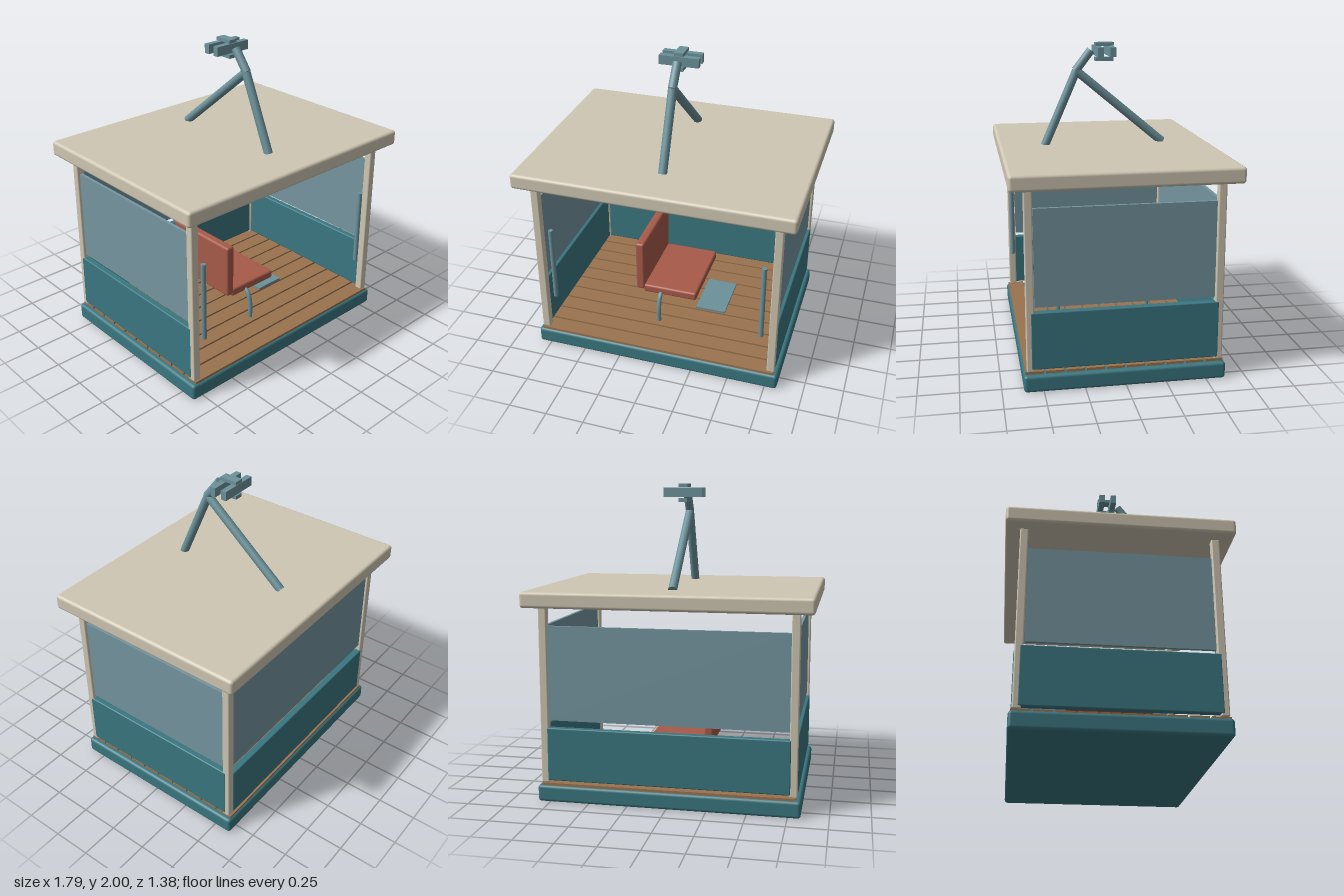
import * as THREE from 'three';
import { RoundedBoxGeometry } from 'three/addons/geometries/RoundedBoxGeometry.js';

const material = (name, color) => {
  const m = new THREE.MeshStandardMaterial({ color });
  m.name = name;
  return m;
};

export function createModel() {
  const model = new THREE.Group();
  model.name = 'gondolaCabin';

  const teal = material('teal paint', 0x3a7781);
  const cream = material('cream paint', 0xcfc7b3);
  const glass = material('tinted window', 0x7596a0);
  const steel = material('blue grey steel', 0x6c929b);
  const wood = material('wood', 0x9b734f);
  const red = material('seat red', 0xa85b49);

  const add = (name, geometry, mat, x = 0, y = 0, z = 0) => {
    const mesh = new THREE.Mesh(geometry, mat);
    mesh.name = name;
    mesh.position.set(x, y, z);
    model.add(mesh);
    return mesh;
  };
  // Box given by its extents; r > 0 rounds the edges
  const box = (name, mat, [x0, x1], [y0, y1], [z0, z1], r = 0) => {
    const size = [x1 - x0, y1 - y0, z1 - z0];
    const geometry = r ? new RoundedBoxGeometry(...size, 3, r) : new THREE.BoxGeometry(...size);
    return add(name, geometry, mat, (x0 + x1) / 2, (y0 + y1) / 2, (z0 + z1) / 2);
  };
  // Straight round bar between two points
  const bar = (name, mat, from, to, r) => {
    const a = new THREE.Vector3(...from), b = new THREE.Vector3(...to);
    const dir = b.clone().sub(a);
    const mesh = add(name, new THREE.CylinderGeometry(r, r, dir.length(), 20), mat);
    mesh.position.copy(a).add(b).multiplyScalar(0.5);
    mesh.quaternion.setFromUnitVectors(new THREE.Vector3(0, 1, 0), dir.normalize());
    return mesh;
  };

  // Base and roof slabs
  box('base', teal, [-0.83, 0.83], [0, 0.107], [-0.62, 0.62], 0.02);
  box('roof', cream, [-0.895, 0.895], [1.245, 1.345], [-0.688, 0.688], 0.02);

  // Floor planks
  const planks = 10, pitch = 0.123;
  for (let i = 0; i < planks; i++) {
    const z = (i - (planks - 1) / 2) * pitch;
    box('floorPlank', wood, [-0.8, 0.8], [0.107, 0.123], [z - 0.055, z + 0.055]);
  }

  // Corner posts, side walls, side windows and entry handles
  for (const s of [-1, 1]) {
    for (const z of [-0.575, 0.575]) {
      box('cornerPost', cream, [s * 0.782 - 0.026, s * 0.782 + 0.026], [0.123, 1.25], [z - 0.025, z + 0.025], 0.008);
    }
    box('sideWall', teal, [s * 0.788 - 0.022, s * 0.788 + 0.022], [0.138, 0.498], [-0.572, 0.572], 0.008);
    box('sideWindow', glass, [s * 0.782 - 0.01, s * 0.782 + 0.01], [0.525, 1.125], [-0.547, 0.547]);
    bar('entryHandle', steel, [s * 0.702, 0.385, 0.575], [s * 0.702, 0.905, 0.575], 0.016);
  }

  // Back wall and window
  box('backWall', teal, [-0.765, 0.765], [0.138, 0.48], [-0.605, -0.56], 0.008);
  box('backWindow', glass, [-0.757, 0.757], [0.525, 1.125], [-0.585, -0.565]);

  // Seat with bent tube legs
  box('seatCushion', red, [-0.19, 0.185], [0.312, 0.37], [-0.27, 0.27], 0.015);
  box('seatBack', red, [-0.24, -0.18], [0.335, 0.7], [-0.275, 0.275], 0.015);
  for (const s of [-1, 1]) {
    const path = new THREE.CatmullRomCurve3([[0.123, 0.312], [0.22, 0.312], [0.3, 0.29], [0.335, 0.24]]
      .map(([y, z]) => new THREE.Vector3(-0.065, y, s * z)));
    add('seatLeg', new THREE.TubeGeometry(path, 16, 0.015, 12), steel);
  }
  box('footPlate', steel, [0.16, 0.365], [0.171, 0.185], [-0.17, 0.17]);

  // Hanger arm on the roof
  const apex = [0, 1.82, 0.18];
  bar('hangerFrontStrut', steel, [0, 1.34, 0.39], apex, 0.028);
  bar('hangerBackStrut', steel, [0, 1.345, -0.39], apex, 0.028);
  bar('hangerLink', steel, [0, 1.82, 0.185], [0, 1.95, 0.085], 0.028);

  // Cable grip
  for (const s of [-1, 1]) {
    box('gripJaw', steel, [-0.128, 0.128], [1.915, 1.975], [s * 0.04 - 0.019, s * 0.04 + 0.019]);
  }
  box('gripTop', steel, [-0.03, 0.03], [1.978, 2], [-0.06, 0.06]);
  box('gripBottom', steel, [-0.028, 0.028], [1.882, 1.906], [-0.06, 0.06]);

  return model;
}
